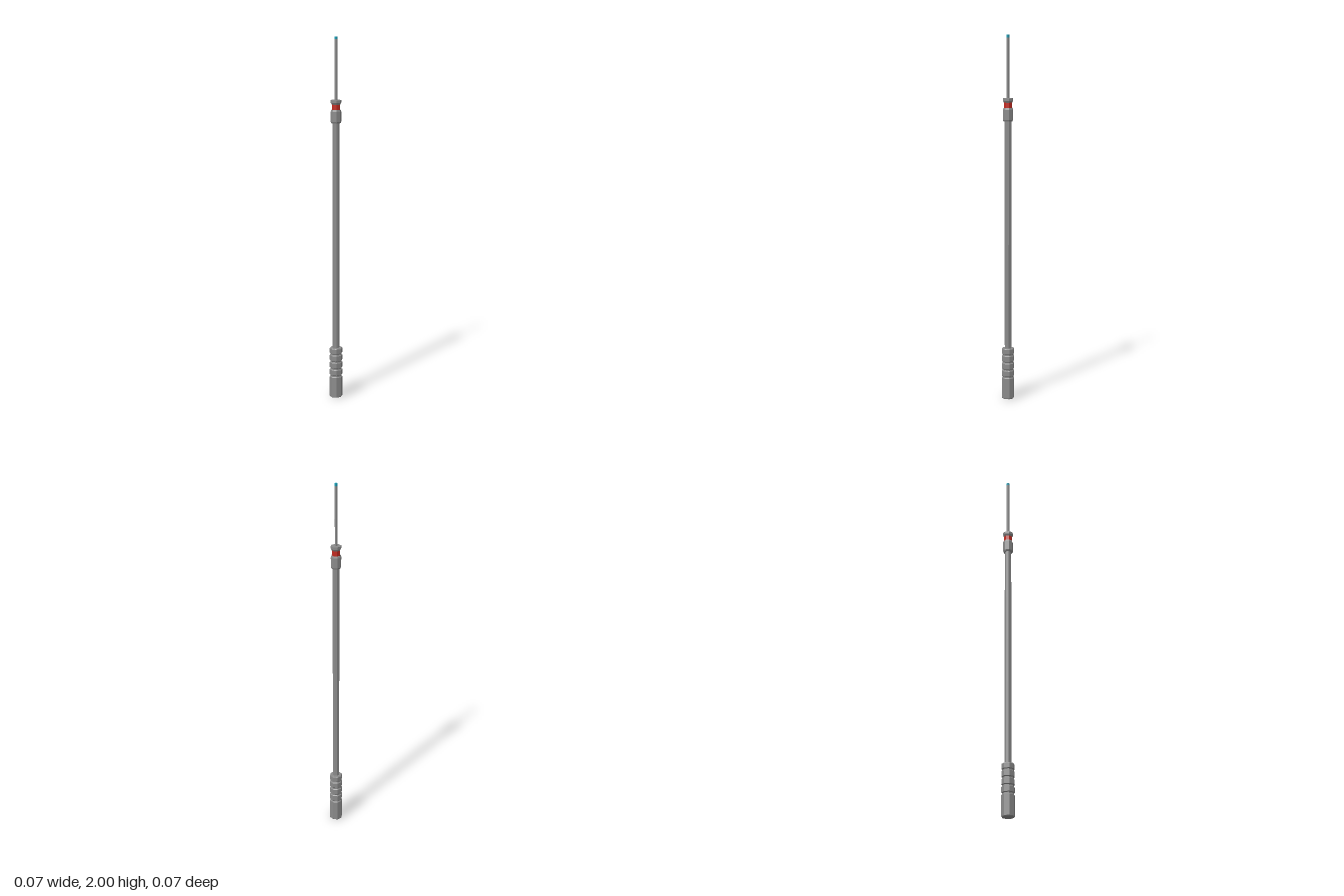
import * as THREE from 'three';

const mat = (name, color, extra) => {
  const m = new THREE.MeshStandardMaterial({ color, flatShading: true });
  m.name = name;
  return m;
};

export function createModel() {
  const group = new THREE.Group();
  const steel = mat('steel grey', 0x8c8c8c);
  const red = mat('signal red', 0xc42a20);
  const cyan = mat('tip cyan', 0x1a9db5);

  const add = (name, geometry, material) => {
    const mesh = new THREE.Mesh(geometry, material);
    mesh.name = name;
    group.add(mesh);
    return mesh;
  };
  // Faceted turned part from [radius, height] pairs, listed bottom to top
  const turned = (name, profile, material) =>
    add(name, new THREE.LatheGeometry(profile.map(([r, y]) => new THREE.Vector2(r, y)), 8), material);
  // Thin six-sided rod with corners on the x axis
  const rod = (name, r, y0, y1, material) => {
    const g = new THREE.CylinderGeometry(r, r, y1 - y0, 6);
    g.rotateY(Math.PI / 6);
    g.translate(0, (y0 + y1) / 2, 0);
    add(name, g, material);
  };

  // Grip with four V-shaped grooves
  const grip = [[0, 0], [0.033, 0], [0.0355, 0.004]];
  for (const y of [0.123, 0.165, 0.207, 0.249]) {
    grip.push([0.0355, y - 0.007], [0.031, y - 0.003], [0.031, y + 0.003], [0.0355, y + 0.007]);
  }
  grip.push([0.0355, 0.281], [0.033, 0.285], [0, 0.285]);
  turned('grip', grip, steel);

  // Long shaft
  turned('shaft', [[0.0185, 0.28], [0.0185, 1.545]], steel);

  // Collar, coloured ring and cap
  turned('collar', [[0, 1.54], [0.025, 1.54], [0.0285, 1.548], [0.0285, 1.602], [0.025, 1.612], [0, 1.612]], steel);
  turned('ring', [[0.0225, 1.61], [0.0225, 1.642]], red);
  turned('cap', [[0, 1.64], [0.0225, 1.64], [0.0285, 1.65], [0.0285, 1.664], [0, 1.664]], steel);

  // Needle and its tip
  rod('needle', 0.0075, 1.66, 1.985, steel);
  rod('needleTip', 0.0075, 1.985, 2, cyan);

  return group;
}
